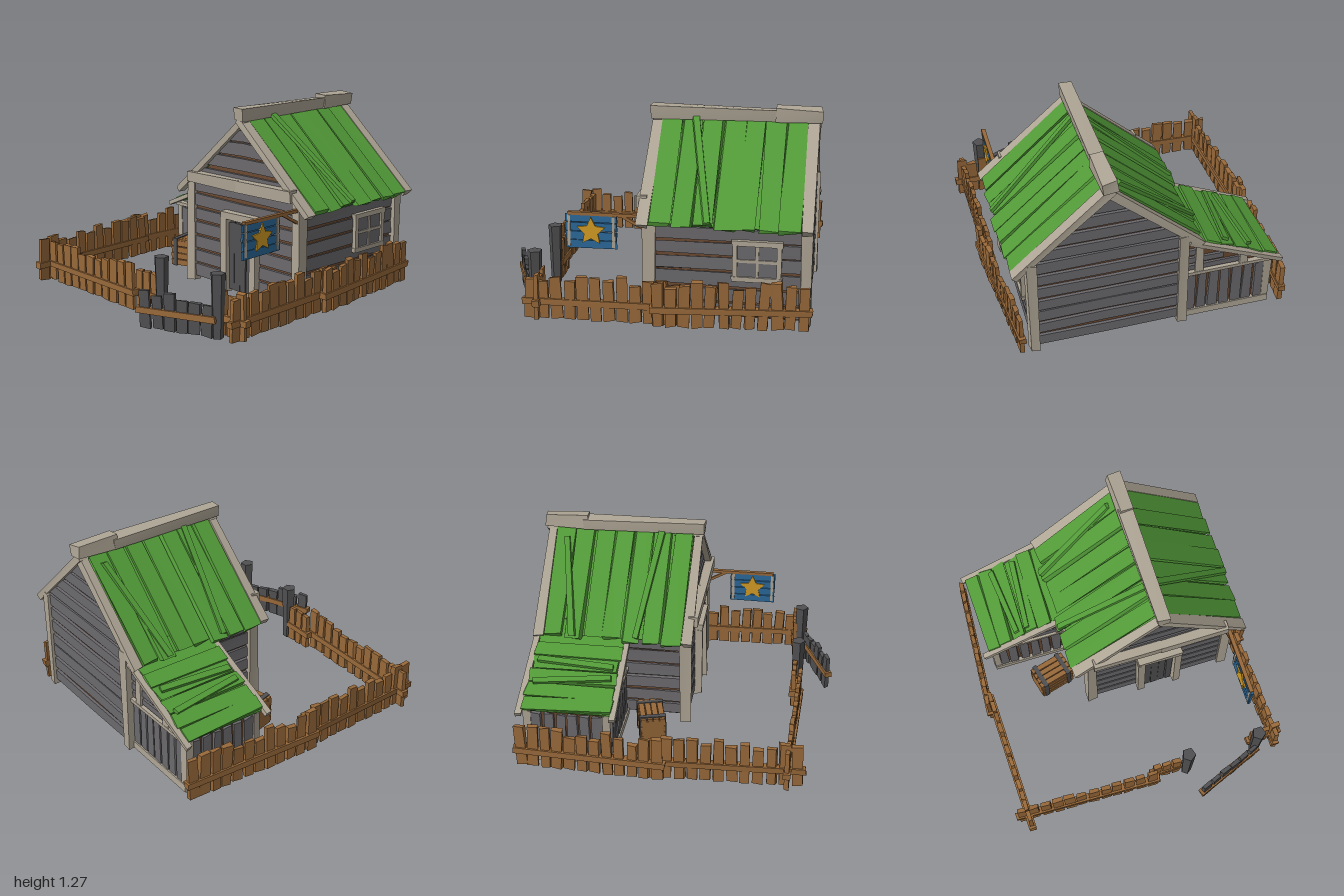
import * as THREE from 'three';

const mat = (name, color) => {
  const m = new THREE.MeshStandardMaterial({ color });
  m.name = name;
  return m;
};

export function createModel() {
  const root = new THREE.Group();
  root.name = 'cottage';
  const backing = mat('dark brown backing', 0x6b4a32);
  const grey = mat('weathered grey', 0x6b696c);
  const dark = mat('dark grey wood', 0x505052);
  const trim = mat('pale trim', 0xaea595);
  const green = mat('green roof', 0x529a38);
  const wood = mat('fence wood', 0x98693a);
  const blue = mat('sign blue', 0x2b6899);
  const gold = mat('star gold', 0xd39c24);

  let seed = 7;
  const rnd = (r = 1) => {
    seed = (seed * 16807) % 2147483647;
    return (seed / 2147483647 * 2 - 1) * r;
  };
  const group = (name, x = 0, y = 0, z = 0, parent = root) => {
    const g = new THREE.Group();
    g.name = name;
    g.position.set(x, y, z);
    parent.add(g);
    return g;
  };
  const add = (parent, name, geo, m, x = 0, y = 0, z = 0) => {
    const mesh = new THREE.Mesh(geo, m);
    mesh.name = name;
    mesh.position.set(x, y, z);
    parent.add(mesh);
    return mesh;
  };
  // Rough-cut board: a box whose eight corners are nudged a little
  const board = (parent, name, m, [w, h, d], [x, y, z], j = 0.006) => {
    const geo = new THREE.BoxGeometry(w, h, d);
    const p = geo.attributes.position;
    const nudge = Array.from({ length: 8 }, () => [rnd(j), rnd(j), rnd(j)]);
    for (let i = 0; i < p.count; i++) {
      const k = (p.getX(i) > 0 ? 1 : 0) + (p.getY(i) > 0 ? 2 : 0) + (p.getZ(i) > 0 ? 4 : 0);
      const n = nudge[k];
      // thin sides are nudged less
      p.setXYZ(i, p.getX(i) + Math.min(1, w * 20) * n[0], p.getY(i) + Math.min(1, h * 15) * n[1],
        p.getZ(i) + Math.min(1, d * 15) * n[2]);
    }
    geo.computeVertexNormals();
    return add(parent, name, geo, m, x, y, z);
  };
  const plate = (parent, name, m, pts, depth, z) => {
    const s = new THREE.Shape(pts.map(([x, y]) => new THREE.Vector2(x, y)));
    return add(parent, name, new THREE.ExtrudeGeometry(s, { depth, bevelEnabled: false }), m, 0, 0, z);
  };

  // House walls, open underneath
  const CX = 0.27;
  const house = group('house');
  const outline = [[-0.2, 0.03], [0.74, 0.03], [0.74, 0.7], [CX, 1.12], [-0.2, 0.7]];
  for (const [front, z] of [[true, 0.01], [false, -0.93]]) {
    plate(house, 'gableBacking', backing, outline, 0.02, z);
    const half = y => Math.min(0.47, Math.max(0.01, (1.13 - y) / 0.9));
    for (let i = 0; i < 11; i++) {
      const y0 = 0.04 + i * 0.098 + rnd(0.006), y1 = y0 + 0.078 + rnd(0.008);
      const a = half(y0), b = half(y1), t = rnd(0.008);
      plate(house, 'gableBoard', grey,
        [[CX - a, y0], [CX, y0 + t], [CX + a, y0], [CX + b, y1], [CX, y1 + t], [CX - b, y1]],
        0.02, front ? 0.03 : -0.95);
    }
  }
  for (const s of [-1, 1]) {
    const x = CX + s * 0.46;
    add(house, 'sideBacking', new THREE.BoxGeometry(0.02, 0.67, 0.94), backing, x, 0.365, -0.45);
    for (let i = 0; i < 7; i++)
      board(house, 'sideBoard', grey, [0.02, 0.077 + rnd(0.008), 0.93], [x + s * 0.018, 0.08 + i * 0.098, -0.45], 0.009);
    for (const z of [0.03, -0.935])
      board(house, 'cornerPost', trim, [0.06, 0.71, 0.07], [CX + s * 0.48, 0.355, z], 0.01);
  }
  for (const s of [-1, 1])
    board(house, 'frontBeam', trim, [0.47, 0.075, 0.06], [CX + s * 0.232, 0.738, 0.08], 0.005);

  // Door
  const door = group('door', CX, 0, 0.06);
  for (let i = 0; i < 4; i++)
    board(door, 'doorBoard', dark, [0.047, 0.46, 0.025], [-0.078 + i * 0.052, 0.25, 0], 0.005);
  for (const s of [-1, 1]) board(door, 'doorJamb', trim, [0.05, 0.51, 0.06], [s * 0.13, 0.255, 0.01]);
  board(door, 'doorLintel', trim, [0.31, 0.05, 0.07], [0, 0.525, 0.01]);

  // Window in the left wall
  const win = group('window', 0.765, 0.41, -0.635);
  add(win, 'windowPane', new THREE.BoxGeometry(0.009, 0.24, 0.29), grey, 0.003);
  for (const s of [-1, 1]) {
    board(win, 'windowSide', trim, [0.03, 0.25, 0.03], [0.005, 0, s * 0.135], 0.004);
    board(win, 'windowRail', trim, [0.03, 0.03, 0.31], [0.008, s * 0.115, 0], 0.004);
  }
  board(win, 'windowMullion', trim, [0.02, 0.22, 0.02], [0.005, 0, 0], 0.003);
  board(win, 'windowCrossbar', trim, [0.02, 0.02, 0.27], [0.005, 0, 0], 0.003);

  // Main roof: each slope is laid in a tilted frame starting at the ridge
  const A = Math.atan2(0.54, 0.6), L = 0.81;
  for (const s of [-1, 1]) {
    const slope = group(s > 0 ? 'leftSlope' : 'rightSlope', CX, 1.19, 0);
    slope.rotation.z = -s * A;
    add(slope, 'roofUnderlay', new THREE.BoxGeometry(L - 0.04, 0.012, 0.92), green, s * L / 2, -0.035, -0.44);
    for (let i = 0; i < 7; i++) {
      const len = L + rnd(0.015);
      const b = board(slope, 'roofBoard', green, [len, 0.025, 0.122 + rnd(0.01)], [s * len / 2, -0.014 + rnd(0.006), 0.02 - (i + 0.5) * 0.132], 0.012);
      b.rotation.x = rnd(0.06);
    }
    for (const z of [0.055, -0.935])
      board(slope, 'bargeBoard', trim, [L + 0.01, 0.045, 0.065], [s * L / 2, -0.025, z], 0.008);
  }
  const loose = (i, len, x, z, turn) => {
    const b = board(root.getObjectByName(i), 'looseBoard', green, [len, 0.02, 0.04], [x, 0.015, z], 0.008);
    b.rotation.y = turn;
  };
  loose('leftSlope', 0.78, 0.41, -0.265, 0.19);
  loose('rightSlope', 0.72, -0.46, -0.765, 0.18);
  loose('rightSlope', 0.78, -0.41, -0.235, -0.13);
  board(house, 'ridgeBeam', trim, [0.085, 0.075, 0.82], [CX, 1.205, -0.31], 0.01);
  board(house, 'ridgeBeamEnd', trim, [0.09, 0.08, 0.28], [CX, 1.215, -0.84], 0.01);

  // Lean-to shed on the right side
  const shed = group('leanTo');
  const B = Math.atan2(0.28, 0.63);
  const roofY = x => 0.35 + (x + 0.87) * 0.444;
  for (const [s, z] of [[1, -0.39], [-1, -0.9]]) {
    plate(shed, 'shedBacking', backing, [[-0.79, 0.03], [-0.2, 0.03], [-0.2, 0.62], [-0.79, 0.36]], 0.012, z - 0.006);
    for (let i = 0; i < 7; i++)
      board(shed, 'shedBoard', grey, [0.06, 0.31, 0.02], [-0.74 + i * 0.078, 0.19, z + s * 0.014], 0.008);
    for (let i = 0; i < 3; i++) {
      const y = 0.41 + i * 0.062, x0 = -0.87 + (y + 0.03 - 0.33) / 0.444;
      board(shed, 'shedUpperBoard', grey, [-0.22 - x0, 0.042, 0.02], [(x0 - 0.22) / 2, y, z + s * 0.012], 0.005);
    }
    for (const x of [-0.62, -0.32])
      board(shed, 'shedStud', trim, [0.05, roofY(x) - 0.37, 0.03], [x, (roofY(x) + 0.37) / 2, z + s * 0.02], 0.005);
    board(shed, 'shedBeam', trim, [0.6, 0.025, 0.045], [-0.52, 0.37, z + s * 0.015], 0.004);
    board(shed, 'shedSill', trim, [0.6, 0.05, 0.045], [-0.51, 0.027, z + s * 0.01], 0.004);
    board(shed, 'shedPost', trim, [0.05, 0.36, 0.05], [-0.79, 0.18, z], 0.006);
  }
  add(shed, 'shedSideBacking', new THREE.BoxGeometry(0.012, 0.33, 0.5), backing, -0.785, 0.195, -0.645);
  for (let i = 0; i < 6; i++)
    board(shed, 'shedSideBoard', grey, [0.02, 0.31, 0.06], [-0.8, 0.19, -0.45 - i * 0.078], 0.008);
  board(shed, 'shedSideSill', trim, [0.045, 0.05, 0.52], [-0.795, 0.027, -0.645], 0.004);
  const shedRoof = group('leanToRoof', -0.87, 0.365, 0);
  shedRoof.rotation.z = B;
  for (const z of [-0.345, -0.94]) board(shedRoof, 'shedBarge', trim, [0.68, 0.028, 0.04], [0.34, 0, z], 0.006);
  add(shedRoof, 'shedUnderlay', new THREE.BoxGeometry(0.63, 0.01, 0.55), green, 0.36, -0.008, -0.64);
  for (let i = 0; i < 6; i++) {
    const b = board(shedRoof, 'shedRoofBoard', green, [0.098, 0.022, 0.56 + rnd(0.02)], [0.09 + i * 0.105, 0.012 + rnd(0.006), -0.64], 0.01);
    b.rotation.y = rnd(0.04);
  }
  for (const [x, t] of [[0.27, 0.12], [0.4, -0.08]])
    board(shedRoof, 'shedLooseBoard', green, [0.04, 0.02, 0.5], [x, 0.035, -0.64], 0.006).rotation.y = t;

  // Crate beside the house
  const crate = group('crate', -0.445, 0, -0.165);
  crate.rotation.y = 0.26;
  add(crate, 'crateCore', new THREE.BoxGeometry(0.23, 0.17, 0.14), backing, 0, 0.1, 0);
  for (let i = 0; i < 4; i++) {
    const o = -0.06 + i * 0.04;
    board(crate, 'crateTopBoard', wood, [0.25, 0.02, 0.034], [0, 0.195, o], 0.003);
    for (const s of [-1, 1]) board(crate, 'crateSideBoard', wood, [0.25, 0.04, 0.02], [0, 0.035 + i * 0.046, s * 0.072], 0.003);
  }
  for (const s of [-1, 1]) {
    add(crate, 'crateEnd', new THREE.BoxGeometry(0.015, 0.18, 0.14), wood, s * 0.118, 0.1, 0);
    board(crate, 'crateBand', dark, [0.03, 0.2, 0.175], [s * 0.09, 0.11, 0], 0.003);
  }

  // Fence runs from one ground point to another
  const fence = (name, [x0, z0], [x1, z1], m = wood, h = 0.27) => {
    const len = Math.hypot(x1 - x0, z1 - z0);
    const run = group(name, x0, 0, z0);
    run.rotation.y = Math.atan2(z0 - z1, x1 - x0);
    const n = Math.max(2, Math.round((len - 0.02) / 0.083)), step = (len - 0.02) / n;
    for (let i = 0; i < n; i++) {
      const hh = h + rnd(0.035);
      const p = board(run, 'picket', m, [step * 0.8, hh, 0.028], [0.01 + (i + 0.5) * step, 0.012 + hh / 2, 0], 0.007);
      p.rotation.z = rnd(0.04);
    }
    board(run, 'fenceRail', wood, [len, 0.04, 0.046], [len / 2, 0.122, 0], 0.005);
  };
  fence('rightFenceBack', [-0.885, -0.98], [-0.94, 0]);
  fence('rightFenceFront', [-0.91, -0.13], [-0.88, 0.87]);
  fence('frontFence', [-0.97, 0.755], [0.05, 0.785]);
  fence('frontFenceEnd', [0, 0.74], [0.23, 0.74]);
  fence('leftFenceFront', [0.9, 0.8], [0.87, -0.2]);
  fence('leftFenceBack', [0.925, 0], [0.83, -0.98]);
  fence('frontFenceCorner', [0.71, 0.715], [0.96, 0.705]);
  fence('gate', [0.29, 0.975], [0.77, 0.78], dark, 0.225);

  // Gate posts
  for (const x of [0.26, 0.76]) {
    const geo = new THREE.CylinderGeometry(0.048, 0.036, 0.4, 5).toNonIndexed();
    geo.computeVertexNormals();
    add(root, 'gatePost', geo, dark, x, 0.2, 0.755);
  }

  // Hanging sign with a star on each face
  const sign = group('sign', 0.755, 0.545, 0.39);
  board(sign, 'signPole', wood, [0.028, 0.02, 0.47], [0, 0.112, -0.09], 0.003);
  board(sign, 'signBrace', wood, [0.018, 0.018, 0.15], [0, 0.07, -0.26], 0.002).rotation.x = -0.5;
  for (let i = 0; i < 4; i++)
    board(sign, 'signBoard', blue, [0.018, 0.05, 0.32], [0, -0.086 + i * 0.056, 0], 0.004);
  for (const s of [-1, 1]) board(sign, 'signStrap', trim, [0.024, 0.2, 0.018], [0, 0, s * 0.14], 0.003);
  const pts = Array.from({ length: 10 }, (_, i) => {
    const r = i % 2 ? 0.045 : 0.092, a = Math.PI / 2 + i * Math.PI / 5;
    return [r * Math.cos(a), r * Math.sin(a)];
  });
  const star = plate(sign, 'star', gold, pts, 0.036, 0);
  star.position.set(-0.018, 0, 0);
  star.rotation.y = Math.PI / 2;

  return root;
}
